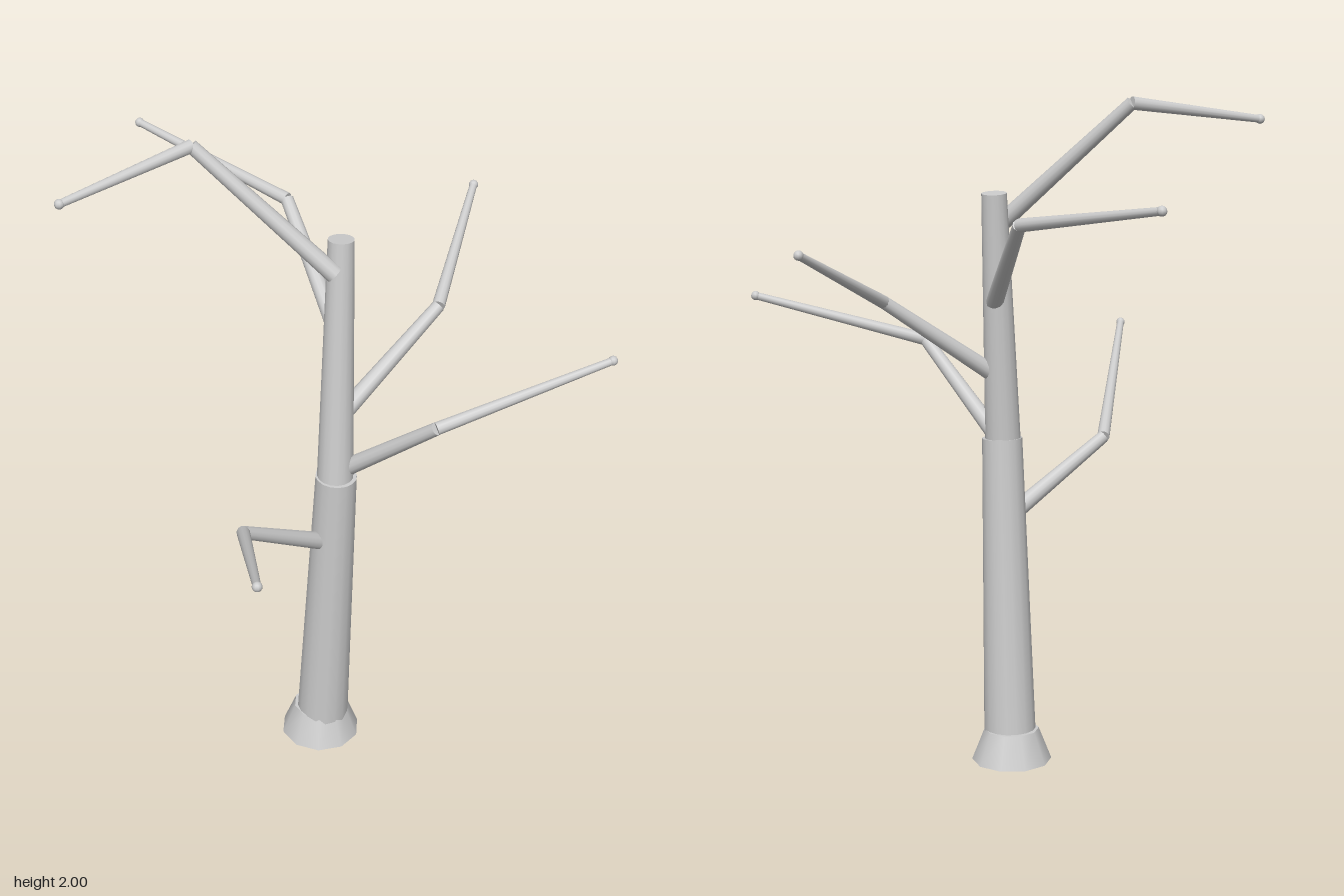
import * as THREE from 'three';

const UP = new THREE.Vector3(0, 1, 0);

// Tapered round limb between two points
function limb(name, a, b, rA, rB, sides, material) {
  const start = new THREE.Vector3(...a);
  const dir = new THREE.Vector3(...b).sub(start);
  const length = dir.length();
  const geometry = new THREE.CylinderGeometry(rB, rA, length, sides);
  geometry.translate(0, length / 2, 0);
  const mesh = new THREE.Mesh(geometry, material);
  mesh.name = name;
  mesh.position.copy(start);
  mesh.quaternion.setFromUnitVectors(UP, dir.normalize());
  return mesh;
}

export function createModel() {
  const tree = new THREE.Group();
  tree.name = 'bareTree';
  const bark = new THREE.MeshStandardMaterial({ color: 0xcccccc });
  bark.name = 'pale grey bark';

  // Root flare and the two leaning trunk sections
  tree.add(
    limb('rootFlare', [0.095, 0.008, -0.028], [0.095, 0.105, -0.028], 0.12, 0.082, 10, bark),
    limb('lowerTrunk', [0.1, 0.003, -0.028], [0.157, 0.99, -0.012], 0.08, 0.06, 16, bark),
    limb('upperTrunk', [0.153, 0.98, -0.012], [0.12, 1.72, -0.067], 0.053, 0.037, 16, bark)
  );

  // Each branch: start, elbow, tip
  const branches = [
    [[0.132, 0.775, 0.035], [0.102, 0.955, 0.335], [0.518, 1.212, 0.762]],
    [[0.17, 1.01, -0.035], [0.465, 1.25, -0.065], [0.758, 1.388, -0.48]],
    [[0.155, 1.19, -0.05], [0.235, 1.42, -0.375], [0.07, 1.603, -0.763]],
    [[0.13, 1.4, -0.06], [-0.21, 1.67, -0.235], [-0.76, 1.755, -0.214]],
    [[0.135, 1.635, -0.022], [-0.21, 1.982, 0.165], [-0.32, 1.927, 0.556]]
  ];
  branches.forEach(([start, elbow, tip], i) => {
    const branch = new THREE.Group();
    branch.name = `branch${i + 1}`;
    const bud = new THREE.Mesh(new THREE.SphereGeometry(0.014, 10, 8), bark);
    bud.name = 'branchTip';
    bud.position.set(...tip);
    branch.add(
      limb('innerBranch', start, elbow, 0.026, 0.019, 12, bark),
      limb('outerBranch', elbow, tip, 0.019, 0.011, 12, bark),
      bud
    );
    tree.add(branch);
  });
  return tree;
}
